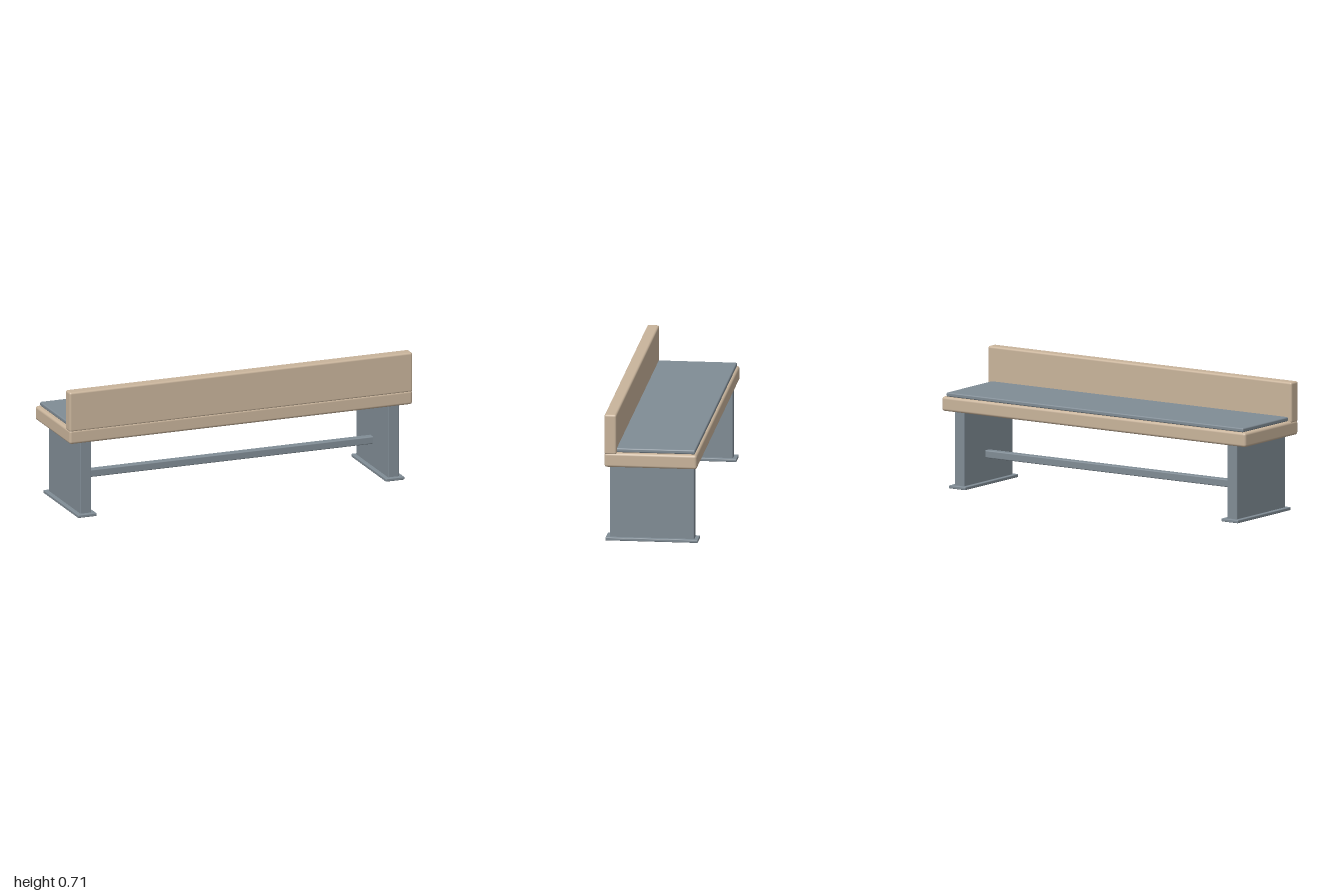
import * as THREE from 'three';
import { RoundedBoxGeometry } from 'three/addons/geometries/RoundedBoxGeometry.js';

export function createModel() {
  const bench = new THREE.Group();
  bench.name = 'bench';

  const wood = new THREE.MeshStandardMaterial({ color: 0xc9b49b });
  wood.name = 'tan wood';
  const slate = new THREE.MeshStandardMaterial({ color: 0x808c95 });
  slate.name = 'slate grey';

  // Softly rounded block given by its extents on each axis
  function block(name, material, [x0, x1], [y0, y1], [z0, z1], radius) {
    const geometry = new RoundedBoxGeometry(x1 - x0, y1 - y0, z1 - z0, 3, radius);
    const mesh = new THREE.Mesh(geometry, material);
    mesh.name = name;
    mesh.position.set((x0 + x1) / 2, (y0 + y1) / 2, (z0 + z1) / 2);
    bench.add(mesh);
  }

  // Seat slab, backrest and cushion
  block('seat', wood, [-1, 1], [0.421, 0.5], [-0.252, 0.252], 0.014);
  block('backrest', wood, [-1, 1], [0.491, 0.714], [0.186, 0.252], 0.011);
  block('cushion', slate, [-0.977, 0.977], [0.5, 0.523], [-0.24, 0.2], 0.007);

  // Panel legs on flat feet
  for (const [side, s] of [['left', 1], ['right', -1]]) {
    const span = (a, b) => (s > 0 ? [a, b] : [-b, -a]);
    block(side + 'Leg', slate, span(0.865, 0.93), [0.012, 0.43], [-0.23, 0.23], 0.005);
    block(side + 'Foot', slate, span(0.843, 0.952), [0, 0.017], [-0.252, 0.252], 0.004);
  }

  // Stretcher bar between the legs
  block('stretcher', slate, [-0.88, 0.88], [0.144, 0.186], [-0.031, 0.011], 0.006);

  return bench;
}
